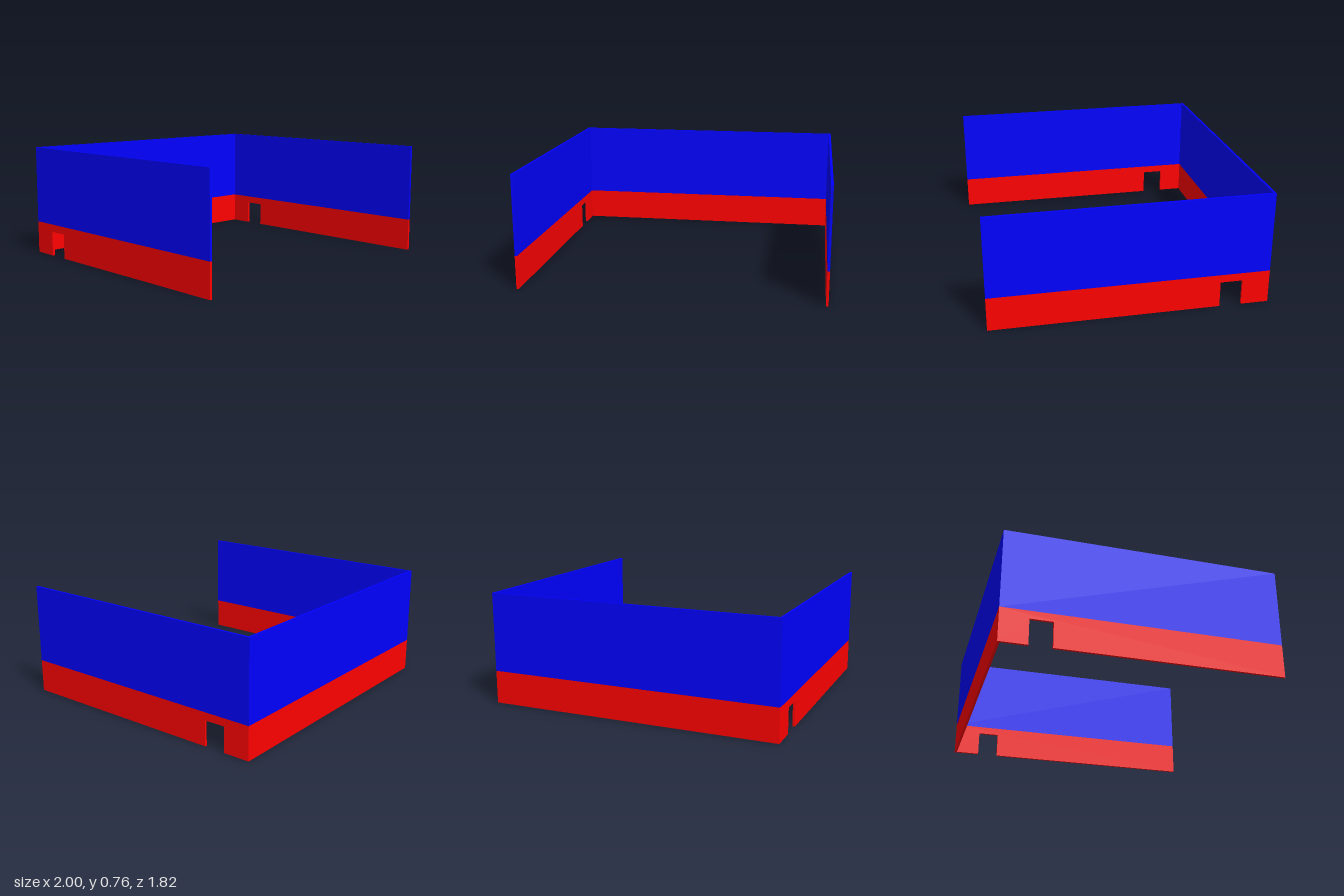
import * as THREE from 'three';

const HALF_X = 1, HALF_Z = 0.912, THICK = 0.016;
const SPLIT = 0.225, TOP = 0.762;
const DOOR = { back: -0.73, front: -0.583, height: 0.172 };

const red = new THREE.MeshStandardMaterial({ color: 0xff0000 });
const blue = new THREE.MeshStandardMaterial({ color: 0x0000ff });

function panel(name, material, size, position) {
  const mesh = new THREE.Mesh(new THREE.BoxGeometry(...size), material);
  mesh.name = name;
  mesh.position.set(...position);
  return mesh;
}

// Lower side band, outlined in (-z, y) with a doorway cut from its bottom edge
function lowerSideGeometry() {
  const outline = [
    [-HALF_Z, 0], [-DOOR.front, 0], [-DOOR.front, DOOR.height],
    [-DOOR.back, DOOR.height], [-DOOR.back, 0], [HALF_Z, 0],
    [HALF_Z, SPLIT], [-HALF_Z, SPLIT],
  ];
  const shape = new THREE.Shape(outline.map(([x, y]) => new THREE.Vector2(x, y)));
  const geometry = new THREE.ExtrudeGeometry(shape, { depth: THICK, bevelEnabled: false });
  return geometry.translate(0, 0, -THICK / 2).rotateY(Math.PI / 2);
}

export function createModel() {
  const model = new THREE.Group();
  model.name = 'threeSidedWall';
  const upperHeight = TOP - SPLIT, upperY = (TOP + SPLIT) / 2;

  // Side walls
  for (const [side, sign] of [['left', 1], ['right', -1]]) {
    const wall = new THREE.Group();
    wall.name = `${side}Wall`;
    wall.position.x = sign * (HALF_X - THICK / 2);
    const lower = new THREE.Mesh(lowerSideGeometry(), red);
    lower.name = `${side}LowerBand`;
    wall.add(lower, panel(`${side}UpperBand`, blue, [THICK, upperHeight, 2 * HALF_Z], [0, upperY, 0]));
    model.add(wall);
  }

  // Back wall, fitted between the sides
  const back = new THREE.Group();
  back.name = 'backWall';
  back.position.z = -HALF_Z + THICK / 2;
  const width = 2 * (HALF_X - THICK);
  back.add(
    panel('backLowerBand', red, [width, SPLIT, THICK], [0, SPLIT / 2, 0]),
    panel('backUpperBand', blue, [width, upperHeight, THICK], [0, upperY, 0]),
  );
  model.add(back);
  return model;
}
